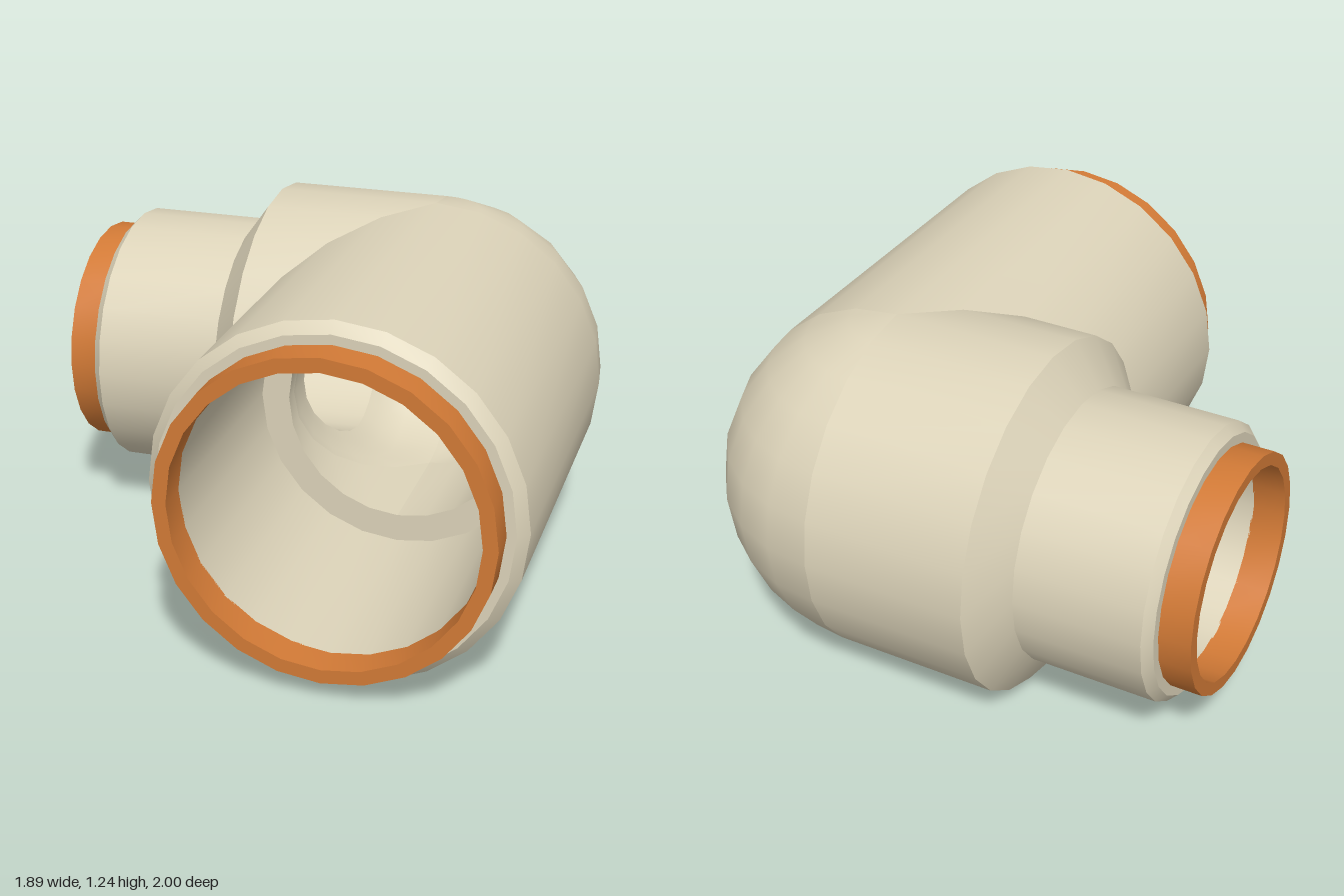
import * as THREE from 'three';
import { toCreasedNormals } from 'three/addons/utils/BufferGeometryUtils.js';
import { ParametricGeometry } from 'three/addons/geometries/ParametricGeometry.js';

const SIDES = 24;
const R = 0.62;        // outer radius of the body
const CAVITY = 0.405;  // radius of the inner corner cavity
const BORE = 0.29;     // radius of the narrow bore
const STOP = 0.46;     // depth of the wide pipe stop, from the corner

export function createModel() {
  const beige = new THREE.MeshStandardMaterial({ color: 0xdcd3b9, side: THREE.DoubleSide });
  const orange = new THREE.MeshStandardMaterial({ color: 0xd27a36, side: THREE.DoubleSide });
  const model = new THREE.Group();
  model.position.set(0.32, R, -0.38); // local origin is the centre of the corner

  const add = (name, geometry, material) => {
    const mesh = new THREE.Mesh(toCreasedNormals(geometry, 0.5), material);
    mesh.name = name;
    model.add(mesh);
  };
  // profile points are [radius, distance from the corner]
  const lathe = (points) =>
    new THREE.LatheGeometry(points.map(([r, d]) => new THREE.Vector2(r, d)), SIDES);
  const toFront = (g) => g.rotateX(Math.PI / 2);
  const toSide = (g) => g.rotateZ(Math.PI / 2);
  const patch = (f, u = SIDES / 2, v = SIDES / 4) =>
    new ParametricGeometry((s, t, p) => p.set(...f(s, t)), u, v);
  const halfTurn = (s) => (s - 0.5) * Math.PI;

  // distance of the cavity wall from the corner centre, toward -x
  const cavityDepth = (y, z) =>
    Math.sqrt(Math.max(0, CAVITY ** 2 - y * y - (z < 0 ? z * z : 0)));

  // Wide leg: outer wall, chamfer, mouth, socket and pipe stop
  const wide = toFront(lathe([
    [R, 0], [R, 1.235], [0.585, 1.27], [0.505, 1.27], [0.505, STOP], [CAVITY, STOP],
  ]));
  const wp = wide.attributes.position;
  for (let i = 0; i < wp.count; i++) { // mitre against the narrow leg
    if (Math.abs(wp.getZ(i)) < 1e-6) wp.setZ(i, Math.min(Math.max(0, -wp.getX(i)), 0.5));
  }
  add('wideLeg', wide, beige);

  // Narrow leg: collar, reducing cone, spigot, chamfer, socket and bore
  const narrow = toSide(lathe([
    [R, 0], [R, 0.58], [0.475, 0.685], [0.475, 1.13], [0.445, 1.16],
    [0.365, 1.16], [0.365, 0.62], [BORE, 0.62], [BORE, 0],
  ]));
  const np = narrow.attributes.position;
  for (let i = 0; i < np.count; i++) { // mitre outside, meet the cavity inside
    if (Math.abs(np.getX(i)) > 1e-6) continue;
    const y = np.getY(i), z = np.getZ(i);
    const inside = Math.hypot(y, z) < BORE + 0.01;
    np.setX(i, -(inside ? cavityDepth(y, z) : Math.min(Math.max(0, z), 0.55)));
  }
  add('narrowLeg', narrow, beige);

  // Rounded corner, outside and inside: a quarter of a sphere
  const quarterSphere = (r) => patch((s, t) => {
    const a = halfTurn(s), b = t * Math.PI / 2;
    return [r * Math.cos(a) * Math.sin(b), r * Math.sin(a), -r * Math.cos(a) * Math.cos(b)];
  });
  add('outerCorner', quarterSphere(R), beige);
  add('cavityCorner', quarterSphere(CAVITY), beige);

  // Cavity wall around the opening of the narrow bore
  add('cavityOpening', patch((s, t) => {
    const a = s * Math.PI * 2, r = BORE + (CAVITY - BORE) * t;
    const y = r * Math.sin(a), z = r * Math.cos(a);
    return [-cavityDepth(y, z), y, z];
  }, SIDES, 4), beige);

  // Cavity walls that run up to the pipe stop
  add('cavityWallNearBore', patch((s, t) => {
    const x = CAVITY * Math.cos(halfTurn(s));
    return [-x, CAVITY * Math.sin(halfTurn(s)), x + (STOP - x) * t];
  }, SIDES / 2, 1), beige);
  add('cavityWallFarSide', patch((s, t) => [
    CAVITY * Math.cos(halfTurn(s)), CAVITY * Math.sin(halfTurn(s)), STOP * t,
  ], SIDES / 2, 1), beige);

  // Coloured rings at both mouths
  const ring = (outer, inner, from, to) =>
    lathe([[outer, from], [outer, to], [inner, to], [inner, from], [outer, from]]);
  add('wideRing', toFront(ring(0.553, 0.505, 1.265, 1.38)), orange);
  add('narrowRing', toSide(ring(0.41, 0.365, 1.155, 1.27)), orange);

  const group = new THREE.Group();
  group.name = 'reducingElbow';
  group.add(model);
  return group;
}
